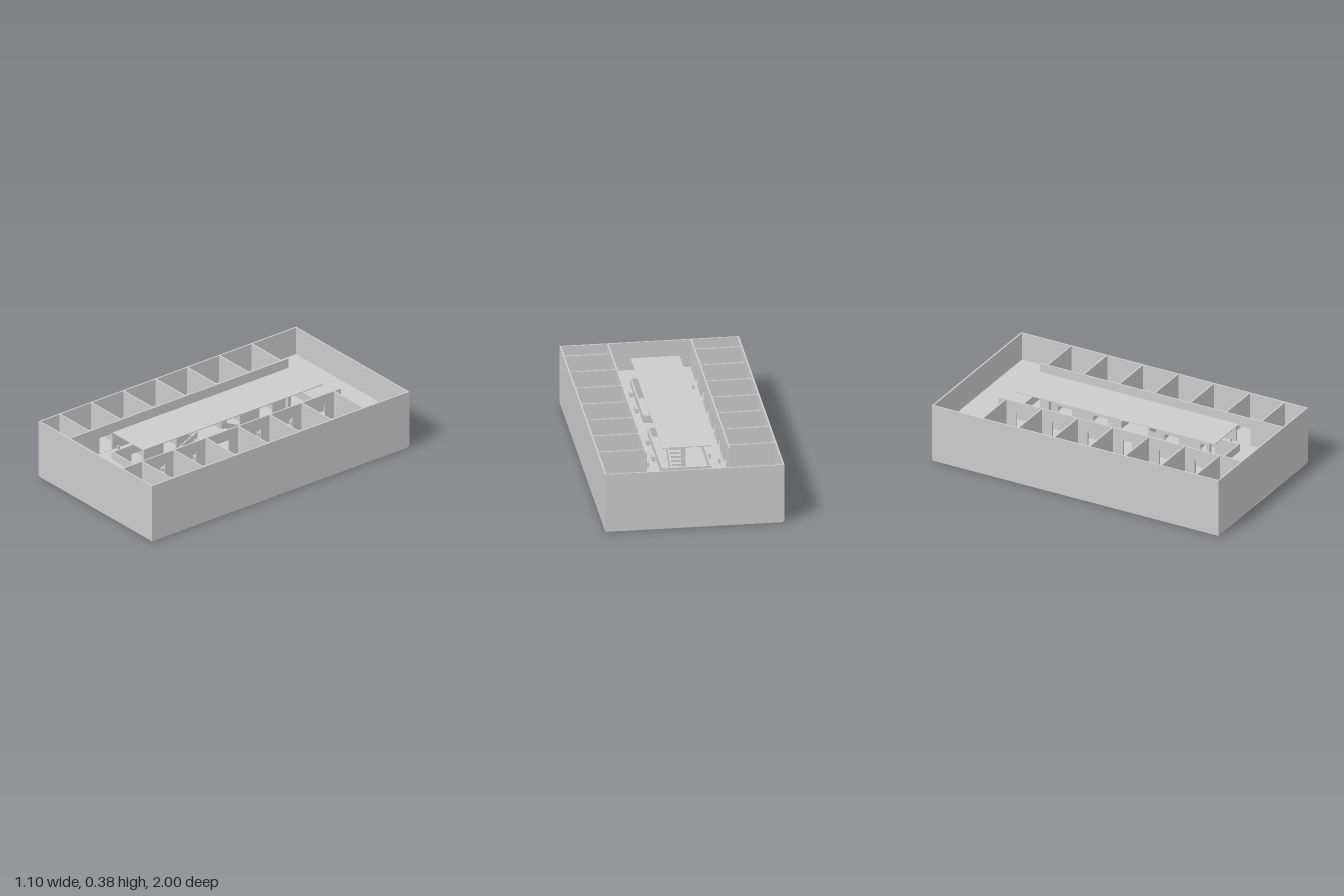
import * as THREE from 'three';

export function createModel() {
  const model = new THREE.Group();
  const mat = new THREE.MeshStandardMaterial({ color: 0xcccccc, flatShading: true });

  function add(geometry, name, parent = model) {
    const mesh = new THREE.Mesh(geometry, mat);
    mesh.name = name;
    parent.add(mesh);
    return mesh;
  }
  // box from minimum and maximum corners
  function box(name, x0, x1, y0, y1, z0, z1, parent) {
    const mesh = add(new THREE.BoxGeometry(x1 - x0, y1 - y0, z1 - z0), name, parent);
    mesh.position.set((x0 + x1) / 2, (y0 + y1) / 2, (z0 + z1) / 2);
    return mesh;
  }
  // rectangular plate with rectangular holes, each given as [u0, u1, v0, v1]
  function plate(outer, holes, depth) {
    const trace = (path, [u0, u1, v0, v1]) => {
      path.moveTo(u0, v0);
      path.lineTo(u1, v0);
      path.lineTo(u1, v1);
      path.lineTo(u0, v1);
      path.closePath();
      return path;
    };
    const shape = trace(new THREE.Shape(), outer);
    holes.forEach((h) => shape.holes.push(trace(new THREE.Path(), h)));
    return new THREE.ExtrudeGeometry(shape, { depth, bevelEnabled: false });
  }

  const G = 0.01, U = 0.2, TOP = 0.38, T = 0.01, RAIL = 0.25;
  const partitions = [-0.65, -0.4, -0.15, 0.095, 0.345, 0.595, 0.84];
  const voids = [[-0.65, -0.02], [0.17, 0.745]];

  // ground slab and outer walls
  box('groundFloor', -0.545, 0.545, 0, G, -0.995, 0.995);
  box('backWall', -0.55, 0.55, G, TOP, -1, -1 + T);
  for (const s of [-1, 1]) {
    const x = s * 0.545;
    box('sideWall', x - T / 2, x + T / 2, G, TOP, -0.99, 0.99);
  }

  // front wall with a slightly recessed entrance
  const front = add(plate([-0.55, 0.55, G, TOP], [[-0.125, 0.125, G + 0.002, 0.115]], T), 'frontWall');
  front.position.z = 1 - T;
  box('entranceDoor', -0.125, 0.125, G, 0.115, 0.992, 0.998);

  // upper slab with two atrium openings
  const slab = add(plate([-0.54, 0.54, -0.99, 0.99],
    voids.map(([a, b]) => [-0.148, 0.148, a, b]), T), 'upperFloor');
  slab.rotation.x = Math.PI / 2;
  slab.position.y = U;

  // shop fronts with doorways, and shop partitions, on both floors
  for (const [y0, y1] of [[G, U - T], [U, TOP]]) {
    const doors = partitions.slice(0, -1).map((z, i) => {
      const c = (z + partitions[i + 1]) / 2;
      return [c - 0.05, c + 0.05, y0 + 0.002, y0 + 0.11];
    });
    for (const s of [-1, 1]) {
      const wall = add(plate([-0.7, 0.99, y0, y1], doors, T), 'shopFront');
      wall.rotation.y = -Math.PI / 2;
      wall.position.x = s * 0.255 + T / 2;
      for (const z of partitions) {
        const xs = [s * 0.26, s * 0.54].sort((a, b) => a - b);
        box('shopPartition', xs[0], xs[1], y0, y1, z - T / 2, z + T / 2);
      }
    }
  }

  // solid railings around the openings, left open where the escalators arrive
  voids.forEach(([a, b], i) => {
    for (const s of [-1, 1]) {
      const x = s * 0.148;
      box('sideRailing', x - 0.005, x + 0.005, U, RAIL, a, b);
      const xs = [s * 0.055, s * 0.143].sort((p, q) => p - q);
      const z = i === 0 ? b : a;
      box('bridgeRailing', xs[0], xs[1], U, RAIL, z - 0.004, z + 0.004);
    }
    const end = i === 0 ? a : b;
    box('endRailing', -0.153, 0.153, U, RAIL, end - 0.005, end + 0.005);
  });

  // an escalator rising to the bridge: sloped body, steps and balustrades
  function escalator(topZ, dir) {
    const group = new THREE.Group();
    group.name = 'escalator';
    const run = 0.42, rise = U - G, count = 14;
    const slope = (name, below, above, width, x) => {
      const s = new THREE.Shape();
      s.moveTo(0, U - below);
      s.lineTo(0, U + above);
      s.lineTo(run, G + above);
      s.lineTo(run, G);
      s.lineTo(run - below * run / rise, G);
      s.closePath();
      const g = new THREE.ExtrudeGeometry(s, { depth: width, bevelEnabled: false });
      const m = add(g, name, group);
      m.rotation.y = -Math.PI / 2;
      m.position.x = x + width / 2;
    };
    slope('escalatorBody', 0.025, 0, 0.09, 0);
    for (const s of [-1, 1]) slope('balustrade', 0.025, 0.045, 0.008, s * 0.049);
    for (let i = 0; i < count; i++) {
      const y = U - (i + 0.5) * rise / count;
      box('step', -0.045, 0.045, y - 0.008, y + 0.006, i * run / count, (i + 1) * run / count, group);
    }
    group.position.z = topZ;
    if (dir < 0) group.rotation.y = Math.PI;
    model.add(group);
  }
  escalator(-0.02, -1);
  escalator(0.17, 1);

  // benches and bins along the gallery
  for (const s of [-1, 1]) {
    for (const z of [-0.4, -0.15, 0.345, 0.595]) {
      const x = s * 0.17;
      box('bench', x - 0.01, x + 0.01, U, U + 0.03, z - 0.025, z + 0.025);
    }
    for (const z of [-0.5, 0.645]) {
      const x = s * 0.22;
      box('bin', x - 0.007, x + 0.007, U, U + 0.03, z - 0.007, z + 0.007);
    }
  }

  // roof panel over the atrium and its posts
  box('atriumRoof', -0.15, 0.15, 0.378, 0.383, -0.65, 0.745);
  for (const z of [-0.5, 0.62]) box('roofPost', -0.012, 0.012, G, 0.378, z - 0.012, z + 0.012);

  return model;
}
